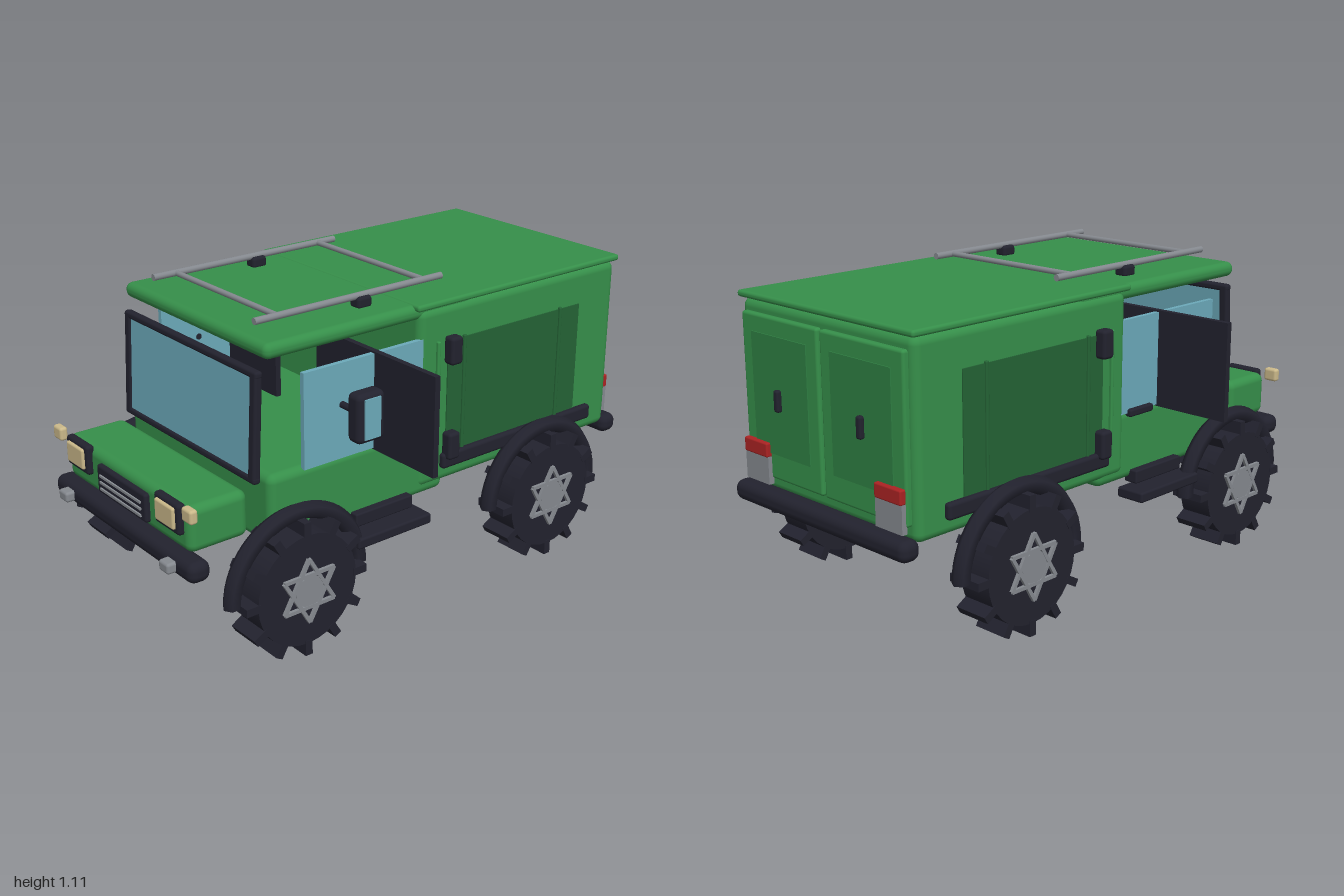
import * as THREE from 'three';
import { RoundedBoxGeometry } from 'three/addons/geometries/RoundedBoxGeometry.js';

const mat = (name, color) => {
  const m = new THREE.MeshStandardMaterial({ color });
  m.name = name;
  return m;
};

export function createModel() {
  const green = mat('body green', 0x368f4a);
  const midGreen = mat('door panel green', 0x2f8043);
  const darkGreen = mat('side panel green', 0x246335);
  const black = mat('black trim', 0x22222e);
  const glass = mat('glass blue', 0x6caaba);
  const grey = mat('metal grey', 0x85898f);
  const beige = mat('lamp beige', 0xcbb98a);
  const red = mat('lamp red', 0xab2323);

  const model = new THREE.Group();
  model.name = 'offRoadVan';

  const add = (name, geo, m, x, y, z, parent = model) => {
    const mesh = new THREE.Mesh(geo, m);
    mesh.name = name;
    mesh.position.set(x, y, z);
    parent.add(mesh);
    return mesh;
  };
  // Box given by its limits on each axis; r rounds its edges
  const box = (name, m, [x0, x1], [y0, y1], [z0, z1], r = 0, parent = model) => {
    const w = x1 - x0, h = y1 - y0, d = z1 - z0;
    const geo = r ? new RoundedBoxGeometry(w, h, d, 3, r) : new THREE.BoxGeometry(w, h, d);
    return add(name, geo, m, (x0 + x1) / 2, (y0 + y1) / 2, (z0 + z1) / 2, parent);
  };
  // The same box on both sides of the vehicle
  const pair = (name, m, [x0, x1], y, z, r = 0) => {
    box(name + 'Left', m, [x0, x1], y, z, r);
    box(name + 'Right', m, [-x1, -x0], y, z, r);
  };

  // Body shells
  box('cargoBody', green, [-0.432, 0.432], [0.395, 1.045], [-0.93, 0.03], 0.03);
  box('cargoRoof', green, [-0.44, 0.44], [1.045, 1.068], [-0.94, 0.045], 0.01);
  box('cabRoof', green, [-0.422, 0.422], [1.01, 1.064], [-0.21, 0.652], 0.025);
  box('cabLower', green, [-0.425, 0.425], [0.365, 0.62], [-0.1, 0.65], 0.03);
  box('hood', green, [-0.387, 0.387], [0.42, 0.582], [0.705, 0.932], 0.03);

  // Windscreen, leaning slightly back
  const screen = new THREE.Group();
  screen.name = 'windscreen';
  screen.position.set(0, 0.783, 0.668);
  screen.rotation.x = -0.05;
  model.add(screen);
  box('windscreenGlass', glass, [-0.365, 0.365], [-0.175, 0.17], [-0.006, 0.008], 0, screen);
  for (const s of [-1, 1]) {
    add('windscreenPost', new RoundedBoxGeometry(0.036, 0.376, 0.03, 2, 0.01), black, s * 0.376, 0, 0, screen);
    add('windscreenRail', new RoundedBoxGeometry(0.79, 0.026, 0.03, 2, 0.01), black, 0, s * 0.177, 0, screen);
  }

  // Cab sides: window, open door plate, handle, sill, step
  pair('sideWindow', glass, [0.411, 0.429], [0.61, 0.944], [0.01, 0.515]);
  pair('openDoor', black, [0.12, 0.724], [0.604, 0.95], [0.205, 0.226]);
  pair('doorHandle', black, [0.41, 0.445], [0.597, 0.625], [0.045, 0.17], 0.008);
  pair('sill', black, [0.4, 0.455], [0.35, 0.398], [0.07, 0.32], 0.006);
  pair('step', black, [0.4, 0.512], [0.3, 0.338], [0.033, 0.355], 0.008);

  // Mirrors
  pair('mirrorHousing', black, [0.52, 0.584], [0.718, 0.888], [0.305, 0.417], 0.02);
  pair('mirrorGlass', glass, [0.581, 0.589], [0.735, 0.872], [0.33, 0.394]);
  for (const s of [-1, 1]) {
    const arm = add('mirrorArm', new THREE.CylinderGeometry(0.012, 0.012, 0.12, 10), black, s * 0.47, 0.8, 0.36);
    arm.rotation.z = Math.PI / 2;
  }

  // Cargo sides: panel, ribs, rub rail, hinges
  pair('sidePanel', darkGreen, [0.43, 0.436], [0.5, 0.917], [-0.74, -0.095]);
  for (const [z, m] of [[-0.05, green], [-0.17, darkGreen], [-0.64, darkGreen]])
    pair('sideRib', m, [0.428, 0.443], [0.5, 0.925], [z - 0.007, z + 0.007], 0.005);
  pair('rubRail', black, [0.425, 0.455], [0.45, 0.507], [-0.82, -0.07], 0.012);
  for (const y of [0.487, 0.838])
    pair('hinge', black, [0.428, 0.474], [y, y + 0.1], [-0.132, -0.08], 0.012);

  // Rear doors and tail lamps
  pair('rearDoor', green, [0.006, 0.405], [0.45, 1.005], [-0.95, -0.92], 0.01);
  pair('rearDoorPanel', midGreen, [0.06, 0.35], [0.54, 0.945], [-0.954, -0.946]);
  pair('rearDoorHandle', black, [0.198, 0.222], [0.695, 0.77], [-0.972, -0.95], 0.008);
  pair('tailLamp', red, [0.275, 0.4], [0.525, 0.575], [-0.97, -0.945], 0.006);
  pair('tailLampBase', grey, [0.275, 0.4], [0.43, 0.527], [-0.965, -0.945]);

  // Bumpers
  box('frontBumper', black, [-0.44, 0.44], [0.342, 0.415], [0.885, 0.967], 0.03);
  box('rearBumper', black, [-0.44, 0.44], [0.348, 0.42], [-0.998, -0.92], 0.03);
  pair('fogLamp', grey, [0.298, 0.354], [0.36, 0.398], [0.955, 0.998], 0.01);

  // Front lamps and grille
  pair('headlampHousing', black, [0.212, 0.357], [0.482, 0.59], [0.92, 0.952], 0.012);
  pair('headlampLens', beige, [0.23, 0.339], [0.5, 0.576], [0.94, 0.962], 0.008);
  pair('turnSignal', beige, [0.383, 0.438], [0.553, 0.602], [0.928, 0.958], 0.01);
  box('grille', black, [-0.155, 0.155], [0.447, 0.55], [0.92, 0.95], 0.01);
  for (const y of [0.468, 0.492, 0.516])
    box('grilleSlat', grey, [-0.13, 0.13], [y - 0.004, y + 0.004], [0.947, 0.956]);

  // Roof rack
  for (const s of [-1, 1]) {
    const rail = add('rackRail', new THREE.CylinderGeometry(0.012, 0.012, 0.785, 12), grey, s * 0.297, 1.1, 0.214);
    rail.rotation.x = Math.PI / 2;
  }
  for (const z of [-0.1, 0.515]) {
    const bar = add('rackCrossbar', new THREE.CylinderGeometry(0.01, 0.01, 0.594, 12), grey, 0, 1.1, z);
    bar.rotation.z = Math.PI / 2;
  }
  pair('rackMount', black, [0.272, 0.322], [1.058, 1.1], [0.145, 0.205], 0.012);

  // Wheels with tread lugs and star spokes on both faces
  const tyreGeo = new THREE.CylinderGeometry(0.198, 0.198, 0.125, 32).rotateZ(Math.PI / 2);
  const lugGeo = new THREE.BoxGeometry(0.128, 0.055, 0.028);
  const hubGeo = new THREE.CylinderGeometry(0.055, 0.055, 0.146, 20).rotateZ(Math.PI / 2);
  const spokeGeo = new THREE.BoxGeometry(0.148, 0.013, 0.2);
  const archGeo = new THREE.TorusGeometry(0.256, 0.031, 6, 28, Math.PI).rotateY(Math.PI / 2);
  for (const z of [0.585, -0.537]) for (const s of [-1, 1]) {
    const wheel = new THREE.Group();
    wheel.name = (z > 0 ? 'front' : 'rear') + 'Wheel' + (s > 0 ? 'Left' : 'Right');
    wheel.position.set(s * 0.472, 0.243, z);
    model.add(wheel);
    add('tyre', tyreGeo, black, 0, 0, 0, wheel);
    add('hub', hubGeo, grey, 0, 0, 0, wheel);
    for (let i = 0; i < 12; i++) {
      const a = i * Math.PI / 6;
      const lug = add('treadLug', lugGeo, black, 0, 0.2155 * Math.cos(a), 0.2155 * Math.sin(a), wheel);
      lug.rotation.x = a;
    }
    for (let i = 0; i < 6; i++) {
      const a = i * Math.PI / 3;
      const spoke = add('starSpoke', spokeGeo, grey, 0, 0.0575 * Math.cos(a), 0.0575 * Math.sin(a), wheel);
      spoke.rotation.x = a;
    }
    add('wheelArch', archGeo, black, s * 0.472, 0.243, z);
  }

  return model;
}
